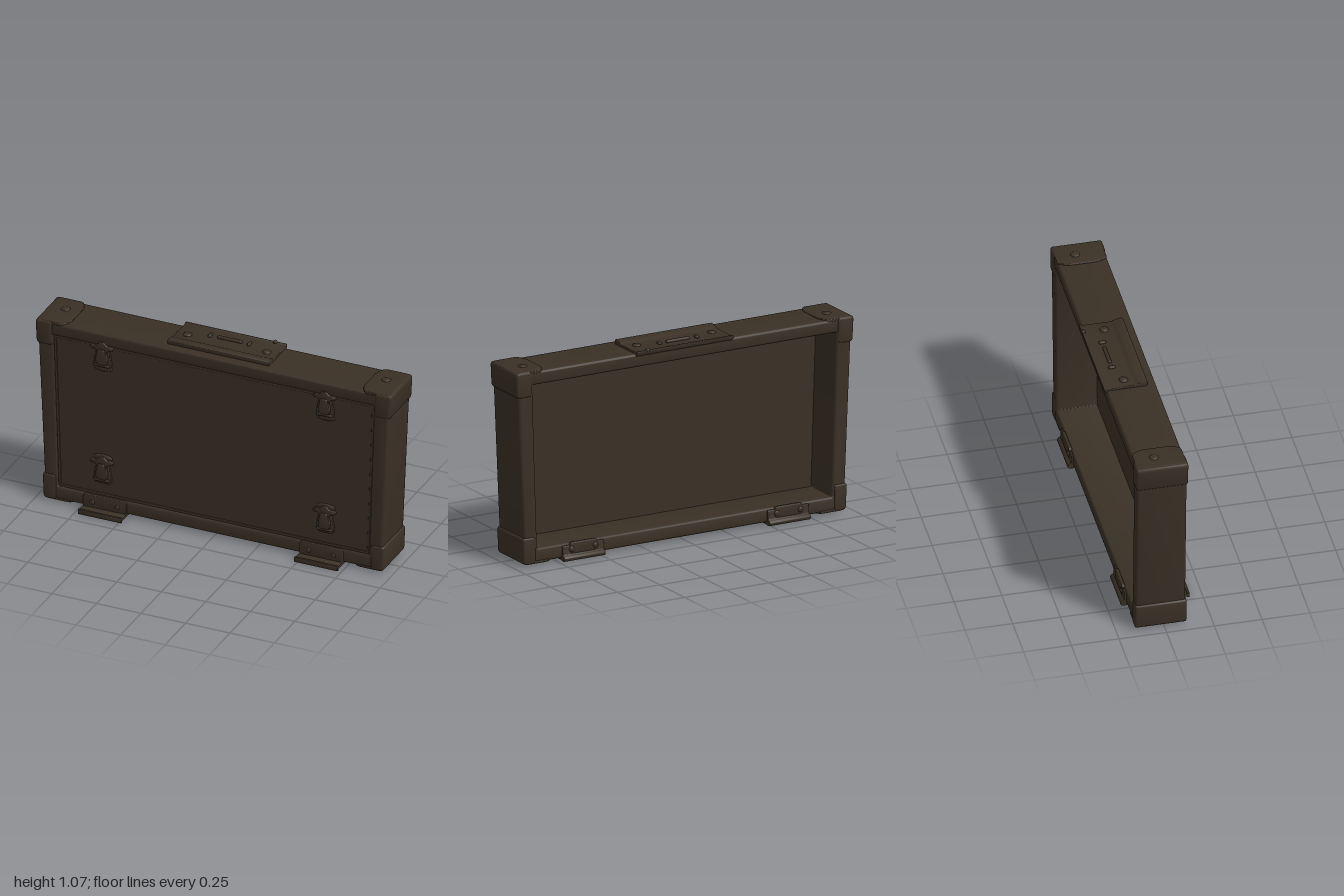
import * as THREE from 'three';
import { toCreasedNormals } from 'three/addons/utils/BufferGeometryUtils.js';

const brown = new THREE.MeshStandardMaterial({ color: 0x3a3025 });
brown.name = 'dark brown';

// Closed outline with rounded corners
function outline(points, r, Type = THREE.Shape) {
  const path = new Type();
  const v = points.map(([x, y]) => new THREE.Vector2(x, y));
  v.forEach((p, i) => {
    const toward = (q) => {
      const d = q.clone().sub(p);
      return p.clone().addScaledVector(d.normalize(), Math.min(r, p.distanceTo(q) * 0.45));
    };
    const a = toward(v[(i + v.length - 1) % v.length]);
    const b = toward(v[(i + 1) % v.length]);
    if (i === 0) path.moveTo(a.x, a.y);
    else path.lineTo(a.x, a.y);
    path.quadraticCurveTo(p.x, p.y, b.x, b.y);
  });
  path.closePath();
  return path;
}

// Bevelled plate from z0 to z1
function plate(shape, z0, z1, bevel) {
  const g = new THREE.ExtrudeGeometry(shape, {
    depth: z1 - z0 - 2 * bevel, bevelEnabled: bevel > 0, bevelThickness: bevel,
    bevelSize: bevel, bevelOffset: -bevel, bevelSegments: 3, curveSegments: 5,
  });
  g.translate(0, 0, z0 + bevel);
  return toCreasedNormals(g, 0.6);
}
// Plate lying flat, outline given as x, z
const flatPlate = (shape, y0, y1, bevel) =>
  plate(shape, 0, y1 - y0, bevel).rotateX(Math.PI / 2).translate(0, y1, 0);
// Section given as z, y and swept along x
const sweepX = (shape, x0, x1, bevel) =>
  plate(shape, 0, x1 - x0, bevel).rotateY(-Math.PI / 2).translate(x1, 0, 0);
const rect = (x0, x1, y0, y1) => [[x0, y0], [x1, y0], [x1, y1], [x0, y1]];
const mirrored = (half) => [...half, ...half.map(([x, y]) => [-x, y]).reverse()];

function add(parent, name, geometry, x = 0, y = 0, z = 0) {
  const m = new THREE.Mesh(geometry, brown);
  m.name = name;
  m.position.set(x, y, z);
  parent.add(m);
  return m;
}

// Domed rivet pointing up
const rivet = (r, h) => new THREE.SphereGeometry(r, 14, 6, 0, Math.PI * 2, 0, Math.PI / 2).scale(1, h / r, 1);

const sideX = (y) => 0.944 + 0.044 * (y - 0.02);

function latch(flip) {
  const g = new THREE.Group();
  // Base plate, cross arms, lever and keeper
  add(g, 'latchBase', plate(outline(mirrored([[0.04, -0.07], [0.052, -0.05], [0.045, 0.0], [0.03, 0.06]]), 0.015), 0.09, 0.108, 0.004));
  add(g, 'latchArms', plate(outline(mirrored([[0.02, 0.02], [0.035, 0.045], [0.062, 0.05], [0.062, 0.066], [0.025, 0.072], [0.012, 0.09]]), 0.01), 0.1, 0.12, 0.004));
  add(g, 'latchLever', plate(outline(mirrored([[0.026, -0.04], [0.034, -0.01], [0.018, 0.05]]), 0.01), 0.1, 0.127, 0.005));
  const bar = new THREE.CapsuleGeometry(0.008, 0.07, 4, 10).rotateZ(Math.PI / 2);
  add(g, 'latchRoller', bar, 0, -0.045, 0.117);
  const keeper = new THREE.SphereGeometry(0.055, 20, 8).scale(1, 0.35, 0.2);
  add(g, 'latchKeeper', keeper, 0, flip ? 0.078 : -0.066, 0.1);
  return g;
}

export function createModel() {
  const model = new THREE.Group();
  model.name = 'case';

  // Tapered shell, open through its middle
  const shell = outline([[-sideX(0.02), 0.02], [sideX(0.02), 0.02], [sideX(1.04), 1.04], [-sideX(1.04), 1.04]], 0.03);
  const opening = [[-0.872, 0.095], [0.872, 0.095], [0.9, 0.97], [-0.9, 0.97]];
  shell.holes.push(outline(opening, 0.006, THREE.Path));
  add(model, 'shell', plate(shell, -0.15, 0.11, 0.012));

  // Recessed front panel and its raised border
  add(model, 'frontPanel', plate(outline(opening.map(([x, y]) => [x * 1.01, y]), 0.004), 0.065, 0.098, 0));
  const border = outline(opening, 0.005);
  border.holes.push(outline(opening.map(([x, y]) => [x * 0.985, 0.5325 + (y - 0.5325) * 0.97]), 0.005, THREE.Path));
  add(model, 'panelBorder', plate(border, 0.095, 0.104, 0.003));

  for (const s of [-1, 1]) {
    const side = s > 0 ? 'left' : 'right';
    const flipX = (pts) => pts.map(([x, y]) => [x * s, y]);

    // Corner guards
    const top = [[0.905, 0.91], [sideX(0.91) + 0.01, 0.91], [sideX(1.046) + 0.011, 1.047], [0.905, 1.047]];
    const bottom = [[0.883, 0.16], [sideX(0.16) + 0.01, 0.16], [sideX(0.02) + 0.01, 0.015], [0.883, 0.015]];
    add(model, side + 'TopCorner', plate(outline(flipX(top), 0.02), -0.155, 0.116, 0.012));
    add(model, side + 'BottomCorner', plate(outline(flipX(bottom), 0.02), -0.155, 0.116, 0.012));
    const tab = [[0.985, -0.15], [0.845, -0.15], [0.82, -0.1], [0.82, 0.06], [0.845, 0.11], [0.985, 0.11]];
    add(model, side + 'TopCornerTab', flatPlate(outline(flipX(tab), 0.02), 1.03, 1.047, 0.004));
    add(model, side + 'BottomCornerTab', flatPlate(outline(flipX(tab.map(([x, z]) => [x - 0.045, z])), 0.02), 0.014, 0.03, 0.004));
    add(model, side + 'CornerRivet', rivet(0.025, 0.01), s * 0.9, 1.046, -0.045);

    // Latches on the front
    for (const [name, y, flip] of [['Top', 0.905, false], ['Bottom', 0.237, true]]) {
      const l = latch(flip);
      l.name = side + name + 'Latch';
      l.position.set(s * 0.625, y, 0);
      model.add(l);
    }

    // Feet: flat tongue with a lip, front and back plates
    const foot = new THREE.Group();
    foot.name = side + 'Foot';
    foot.position.x = s * 0.607;
    model.add(foot);
    const w = 0.122;
    add(foot, 'footTongue', sweepX(outline(rect(-0.16, 0.175, 0.009, 0.023), 0.004), -w, w, 0.002));
    add(foot, 'footLip', sweepX(outline(rect(0.168, 0.183, 0.002, 0.031), 0.006), -w, w, 0.002));
    add(foot, 'footFrontPlate', plate(outline(rect(-w, w, 0.012, 0.092), 0.015), 0.1, 0.12, 0.005));
    const back = [[-0.145, 0.004], [-0.172, 0.004], [-0.181, 0.016], [-0.176, 0.03], [-0.162, 0.036], [-0.159, 0.085], [-0.145, 0.085]];
    add(foot, 'footBackPlate', sweepX(outline(back, 0.007), -w, w, 0.003));
    add(foot, 'footBackTab', plate(outline(rect(-0.08, 0.08, 0.04, 0.1), 0.015), -0.165, -0.145, 0.005));
    for (const x of [-0.07, 0.07]) {
      add(foot, 'footFrontRivet', rivet(0.014, 0.007), x, 0.052, 0.119).rotation.x = Math.PI / 2;
      add(foot, 'footBackRivet', rivet(0.016, 0.009), x, 0.065, -0.163).rotation.x = -Math.PI / 2;
    }
  }

  // Top plate with a rolled front ridge and a back lip
  const section = [[0.062, 1.035], [0.068, 1.062], [0.05, 1.068], [0.012, 1.058], [0.005, 1.052],
    [-0.15, 1.052], [-0.156, 1.058], [-0.166, 1.056], [-0.162, 1.036], [-0.15, 1.028]];
  add(model, 'handlePlate', sweepX(outline(section, 0.008), -0.28, 0.29, 0.004));
  add(model, 'handleBar', new THREE.CapsuleGeometry(0.01, 0.12, 4, 12).rotateZ(Math.PI / 2), 0.004, 1.056, -0.083);
  for (const s of [-1, 1]) {
    add(model, 'handleStud', new THREE.CapsuleGeometry(0.01, 0.018, 4, 10).rotateX(Math.PI / 2), 0.004 + s * 0.11, 1.056, -0.083);
    add(model, 'handleRivet', rivet(0.024, 0.012), 0.004 + s * 0.222, 1.051, -0.048);
  }
  add(model, 'handleCatch', new THREE.SphereGeometry(0.012, 12, 8), 0.225, 1.055, -0.157);

  return model;
}
